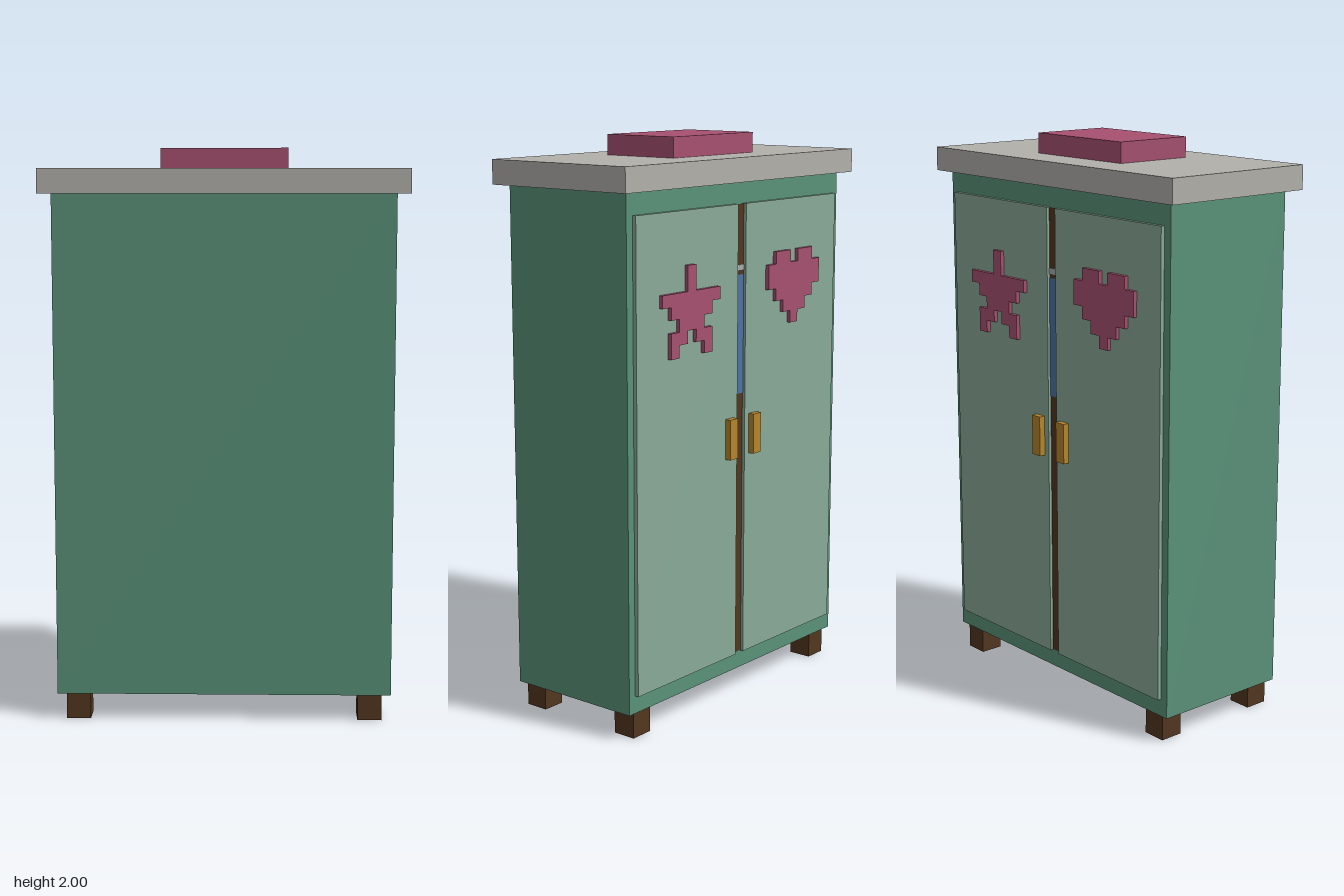
import * as THREE from 'three';

const COLORS = {
  body: 0x5a9279, door: 0x8aaa98, stone: 0xb2b0ab, pink: 0xa65070,
  wood: 0x52361f, brass: 0xb5862c, cloth: 0x4d72a3, steel: 0xa9abad,
};
const materials = {};
for (const [key, color] of Object.entries(COLORS)) {
  materials[key] = new THREE.MeshStandardMaterial({ color, flatShading: true });
}

// Box given by its [min, max] range on each axis
function box(name, mat, [x0, x1], [y0, y1], [z0, z1]) {
  const mesh = new THREE.Mesh(new THREE.BoxGeometry(x1 - x0, y1 - y0, z1 - z0), materials[mat]);
  mesh.name = name;
  mesh.position.set((x0 + x1) / 2, (y0 + y1) / 2, (z0 + z1) / 2);
  return mesh;
}

const STAR = [
  '...X...',
  '...X...',
  'XXXXXXX',
  '.XXXXX.',
  '..XXX..',
  '.XX.XX.',
  '.X...X.',
];
const HEART = [
  '.XX.XX.',
  'XXXXXXX',
  'XXXXXXX',
  '.XXXXX.',
  '..XXX..',
  '...X...',
];

// Pixel relief: one box per horizontal run of filled cells
function pixelOrnament(name, rows, cx, top) {
  const group = new THREE.Group();
  group.name = name;
  const p = 0.0436;
  rows.forEach((row, r) => {
    for (const run of row.matchAll(/X+/g)) {
      const x0 = cx + (run.index - 3.5) * p;
      group.add(box(name + 'Row', 'pink', [x0, x0 + run[0].length * p],
        [top - (r + 1) * p, top - r * p], [-0.285, -0.268]));
    }
  });
  return group;
}

export function createModel() {
  const model = new THREE.Group();
  model.name = 'wardrobe';

  // Cabinet, slab top and the block resting on it
  model.add(box('cabinet', 'body', [-0.588, 0.588], [0.093, 1.845], [-0.257, 0.257]));
  model.add(box('topSlab', 'stone', [-0.632, 0.632], [1.845, 1.929], [-0.293, 0.293]));
  model.add(box('topBlock', 'pink', [-0.22, 0.22], [1.929, 2], [-0.147, 0.147]));

  // Interior panel, rail and garment glimpsed between the doors
  model.add(box('interiorPanel', 'wood', [-0.54, 0.54], [0.157, 1.768], [-0.26, -0.25]));
  model.add(box('hangingRail', 'steel', [-0.5, 0.5], [1.54, 1.56], [-0.263, -0.255]));
  model.add(box('garment', 'cloth', [-0.1, 0.1], [1.108, 1.527], [-0.262, -0.255]));

  // Doors, handles and feet, mirrored across x
  for (const s of [-1, 1]) {
    const span = (a, b) => (s > 0 ? [a, b] : [-b, -a]);
    model.add(box('door', 'door', span(0.022, 0.558), [0.155, 1.77], [-0.271, -0.256]));
    model.add(box('handle', 'brass', span(0.045, 0.088), [0.888, 1.031], [-0.293, -0.27]));
    for (const z of [[-0.248, -0.163], [0.163, 0.248]]) {
      model.add(box('foot', 'wood', span(0.472, 0.557), [0, 0.095], z));
    }
  }

  // Door ornaments
  model.add(pixelOrnament('starOrnament', STAR, 0.29, 1.59));
  model.add(pixelOrnament('heartOrnament', HEART, -0.29, 1.59));

  return model;
}
